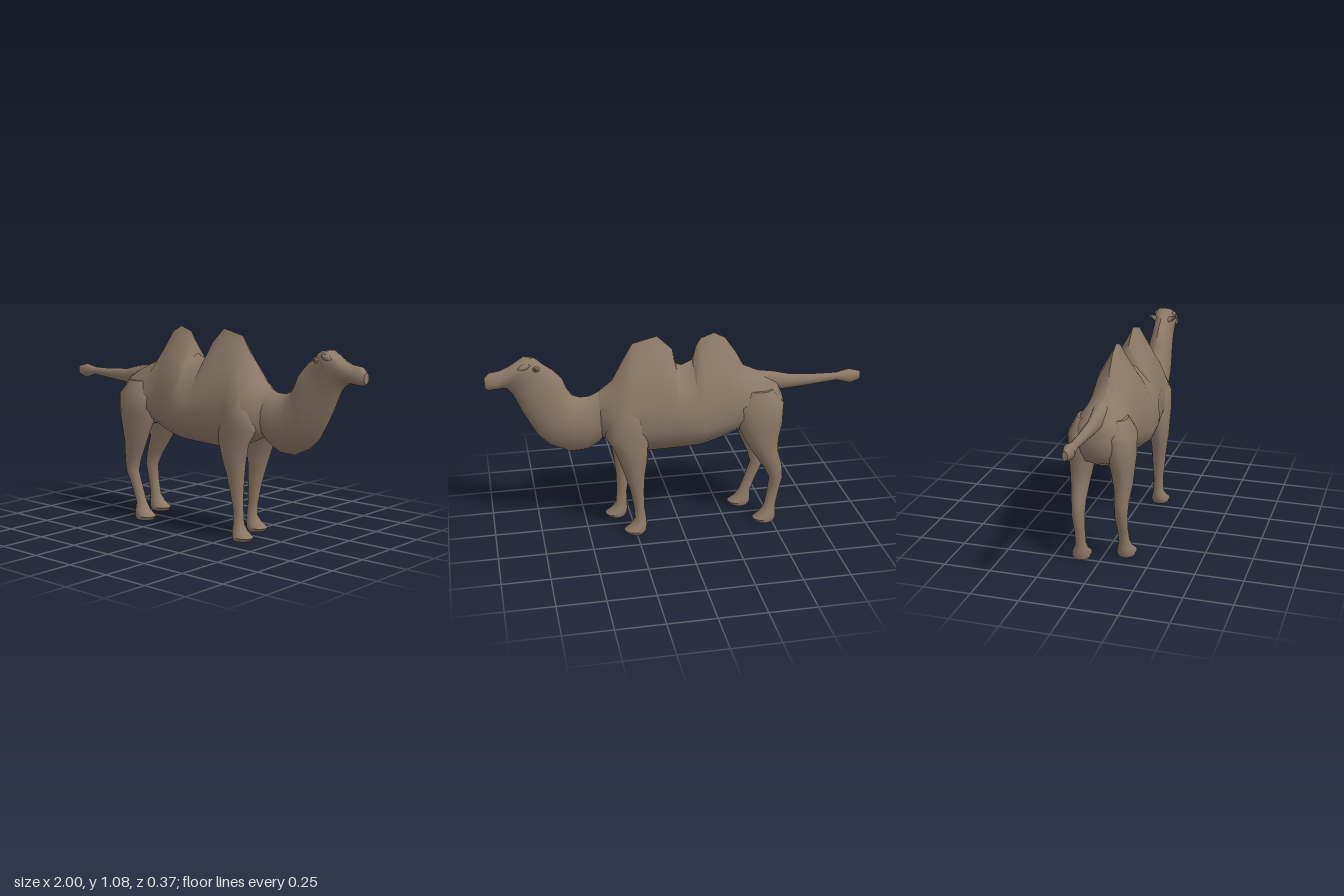
import * as THREE from 'three';
import { toCreasedNormals } from 'three/addons/utils/BufferGeometryUtils.js';

const SIDES = 14;

// Skin a closed tube over rings. Each ring spans from upper point (ax, ay) to lower
// point (bx, by): [ax, ay, bx, by, halfWidth, zCentre, widest, upperPinch, lowerPinch].
function loft(rings) {
  const pos = [], idx = [];
  for (const [ax, ay, bx, by, hw, zc = 0, widest = 0.5, up = 1, low = 1] of rings) {
    for (let j = 0; j < SIDES; j++) {
      const f = (j / SIDES) * Math.PI * 2, c = Math.cos(f), s = Math.sin(f);
      const t = widest + c * (c > 0 ? 1 - widest : widest);
      const z = Math.sign(s) * Math.pow(Math.abs(s), c > 0 ? up : low) * hw;
      pos.push(bx + (ax - bx) * t, by + (ay - by) * t, zc + z);
    }
  }
  for (let i = 0; i < rings.length - 1; i++) {
    for (let j = 0; j < SIDES; j++) {
      const a = i * SIDES + j, b = i * SIDES + ((j + 1) % SIDES);
      idx.push(a, b, a + SIDES, b, b + SIDES, a + SIDES);
    }
  }
  // End caps
  for (const end of [0, rings.length - 1]) {
    const [ax, ay, bx, by, , zc = 0] = rings[end], centre = pos.length / 3;
    pos.push((ax + bx) / 2, (ay + by) / 2, zc);
    for (let j = 0; j < SIDES; j++) {
      const a = end * SIDES + j, b = end * SIDES + ((j + 1) % SIDES);
      if (end) idx.push(centre, a, b);
      else idx.push(centre, b, a);
    }
  }
  const geo = new THREE.BufferGeometry();
  geo.setAttribute('position', new THREE.Float32BufferAttribute(pos, 3));
  geo.setIndex(idx);
  return toCreasedNormals(geo, 0.8);
}

export function createModel() {
  const group = new THREE.Group();
  const hide = new THREE.MeshStandardMaterial({ color: 0x8b7966 });
  hide.name = 'brown hide';
  const add = (name, geo) => {
    const mesh = new THREE.Mesh(geo, hide);
    mesh.name = name;
    group.add(mesh);
    return mesh;
  };

  // Trunk with two humps: [x, top, bottom, halfWidth, widestY, upperPinch]
  const trunk = [
    [-0.56, 0.72, 0.6, 0.07, 0.66, 1], [-0.53, 0.79, 0.55, 0.115, 0.67, 1],
    [-0.45, 0.84, 0.51, 0.145, 0.67, 1.2], [-0.35, 0.885, 0.53, 0.145, 0.66, 1.5],
    [-0.31, 0.96, 0.53, 0.14, 0.65, 2], [-0.25, 1.045, 0.505, 0.148, 0.65, 2.3],
    [-0.19, 1.075, 0.485, 0.16, 0.65, 2.4], [-0.12, 1.05, 0.47, 0.182, 0.64, 2.5],
    [-0.095, 1.01, 0.468, 0.187, 0.64, 2.3], [-0.075, 0.935, 0.466, 0.188, 0.64, 1.7],
    [-0.02, 0.91, 0.462, 0.185, 0.64, 1.5], [0.012, 0.92, 0.46, 0.18, 0.64, 1.6],
    [0.03, 1.0, 0.458, 0.176, 0.64, 2.2], [0.11, 1.077, 0.453, 0.165, 0.64, 2.5],
    [0.18, 1.06, 0.45, 0.153, 0.64, 2.4], [0.24, 1.045, 0.47, 0.155, 0.65, 2.3],
    [0.29, 0.96, 0.49, 0.162, 0.65, 1.9], [0.35, 0.85, 0.515, 0.15, 0.65, 1.5],
    [0.4, 0.81, 0.54, 0.11, 0.65, 1.3], [0.44, 0.78, 0.57, 0.06, 0.66, 1],
  ];
  add('trunk', loft(trunk.map(([x, top, bottom, hw, mid, up]) =>
    [x, top, x, bottom, hw, 0, (mid - bottom) / (top - bottom), up, 0.85])));

  // Curved neck running on into the head and muzzle
  add('neckAndHead', loft([
    [0.33, 0.84, 0.38, 0.58, 0.08, 0, 0.5, 1.2, 1], [0.41, 0.8, 0.425, 0.51, 0.085, 0, 0.48, 1.3, 1.2],
    [0.47, 0.772, 0.49, 0.467, 0.08, 0, 0.5, 1.3, 1.4], [0.52, 0.77, 0.58, 0.463, 0.075, 0, 0.52, 1.2, 1.4],
    [0.56, 0.787, 0.68, 0.51, 0.072, 0, 0.52, 1.1, 1.2], [0.585, 0.825, 0.74, 0.57, 0.07, 0, 0.52, 1, 1],
    [0.605, 0.88, 0.785, 0.65, 0.065, 0, 0.5, 1, 1], [0.65, 0.93, 0.82, 0.72, 0.058],
    [0.7, 0.967, 0.848, 0.785, 0.056, 0, 0.55], [0.735, 1.0, 0.865, 0.82, 0.06, 0, 0.65, 0.8, 1],
    [0.79, 1.01, 0.885, 0.842, 0.06, 0, 0.7, 0.7, 1], [0.865, 0.967, 0.91, 0.853, 0.046, 0, 0.6, 0.8, 1],
    [0.92, 0.947, 0.94, 0.851, 0.036, 0, 0.45, 1, 0.8], [0.975, 0.94, 0.985, 0.848, 0.034, 0, 0.4, 1, 0.8],
    [1.0, 0.915, 1.0, 0.858, 0.022],
  ]));

  // Tail with a tufted tip, listed from tip to root
  add('tail', loft([
    [-1, 0.8, -1, 0.752, 0.014], [-0.94, 0.816, -0.945, 0.735, 0.03], [-0.87, 0.8, -0.865, 0.757, 0.02],
    [-0.75, 0.802, -0.75, 0.745, 0.022], [-0.61, 0.812, -0.61, 0.733, 0.027],
    [-0.52, 0.835, -0.52, 0.73, 0.036], [-0.42, 0.85, -0.42, 0.74, 0.05],
  ]));

  // Legs from top to bottom: [y, backX, frontX, halfWidth, zCentre]
  const frontLeg = [
    [0.79, 0.25, 0.33, 0.03, 0.09], [0.68, 0.2, 0.38, 0.07, 0.098], [0.58, 0.17, 0.405, 0.067, 0.1],
    [0.5, 0.18, 0.36, 0.055, 0.11], [0.42, 0.2, 0.345, 0.05, 0.11], [0.35, 0.225, 0.335, 0.042, 0.107],
    [0.25, 0.25, 0.325, 0.035, 0.103], [0.15, 0.268, 0.325, 0.027, 0.1], [0.08, 0.268, 0.33, 0.028, 0.1],
    [0.045, 0.265, 0.355, 0.04, 0.103], [0.018, 0.268, 0.39, 0.052, 0.105], [0, 0.28, 0.375, 0.045, 0.105],
  ];
  const hindLeg = [
    [0.77, -0.49, -0.36, 0.04, 0.09], [0.69, -0.555, -0.3, 0.077, 0.095], [0.58, -0.55, -0.305, 0.072, 0.1],
    [0.5, -0.53, -0.34, 0.058, 0.107], [0.42, -0.51, -0.37, 0.048, 0.11], [0.33, -0.515, -0.41, 0.037, 0.107],
    [0.26, -0.505, -0.43, 0.034, 0.105], [0.17, -0.465, -0.4, 0.028, 0.103], [0.09, -0.435, -0.37, 0.028, 0.103],
    [0.05, -0.435, -0.345, 0.04, 0.106], [0.02, -0.435, -0.305, 0.052, 0.108], [0, -0.425, -0.32, 0.045, 0.108],
  ];
  // The legs on the far side step backwards, more so towards the foot
  const leg = (rows, side, stride) => loft(rows.map(([y, back, front, hw, z]) => {
    const dx = side < 0 ? -stride * THREE.MathUtils.clamp((0.5 - y) / 0.4, 0, 1) : 0;
    return [front + dx, y, back + dx, y, hw, z * side];
  }));

  for (const side of [1, -1]) {
    const label = side > 0 ? 'Near' : 'Far';
    add('frontLeg' + label, leg(frontLeg, side, 0.075));
    add('hindLeg' + label, leg(hindLeg, side, 0.09));

    // Small pointed ear leaning outwards
    const ear = add('ear' + label, new THREE.ConeGeometry(0.024, 0.06, 6));
    ear.scale.set(1, 1, 0.8);
    ear.position.set(0.742, 0.966, side * 0.062);
    ear.rotation.x = side * 1.2;
    // Brow ridge
    const brow = add('brow' + label, new THREE.SphereGeometry(0.022, 8, 6));
    brow.scale.set(1.5, 0.7, 0.6);
    brow.position.set(0.8, 0.975, side * 0.05);
    brow.rotation.z = -0.35;
  }
  return group;
}
